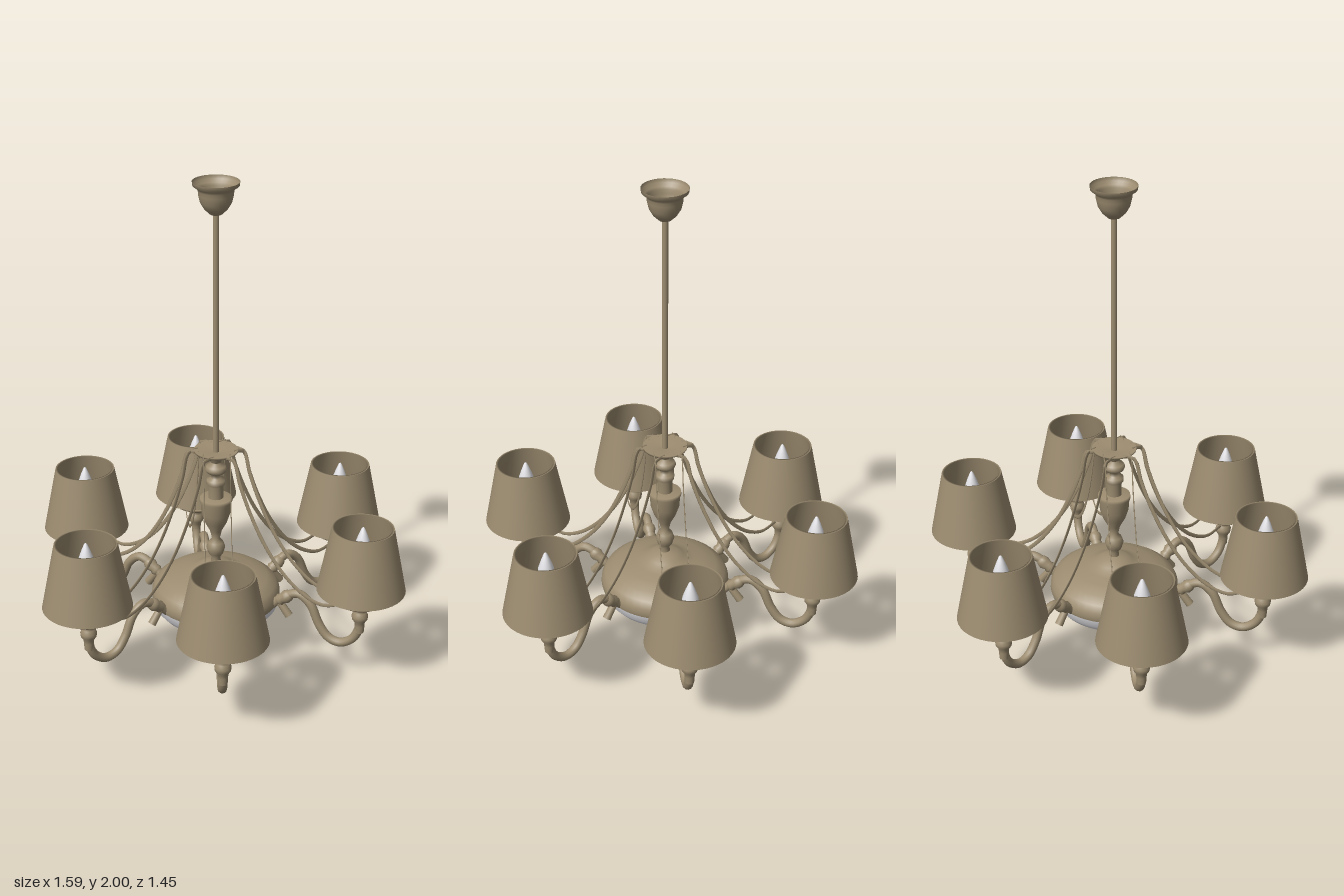
import * as THREE from 'three';

const brass = new THREE.MeshStandardMaterial({ color: 0x9c8c70, side: THREE.DoubleSide });
brass.name = 'antique brass';
const glass = new THREE.MeshStandardMaterial({ color: 0xe6e6ea, side: THREE.DoubleSide });
glass.name = 'white glass';

// Surface of revolution from [radius, height] pairs, bottom to top
function turned(name, profile, material = brass, segments = 32) {
  const pts = profile.map(([r, y]) => new THREE.Vector2(r, y));
  const mesh = new THREE.Mesh(new THREE.LatheGeometry(pts, segments), material);
  mesh.name = name;
  return mesh;
}

// Tube along a curve through [outward, height] pairs in the arm's plane
function bent(name, path, radius, segments, sides) {
  const curve = new THREE.CatmullRomCurve3(path.map(([x, y]) => new THREE.Vector3(x, y, 0)));
  const mesh = new THREE.Mesh(new THREE.TubeGeometry(curve, segments, radius, sides), brass);
  mesh.name = name;
  return mesh;
}

function createLampArm() {
  const arm = new THREE.Group();
  arm.name = 'lampArm';
  const R = 0.62;

  // S-shaped arm, with a collar and a short stub near the body
  arm.add(bent('curvedArm', [
    [0.24, 0.255], [0.3, 0.31], [0.36, 0.335], [0.41, 0.3], [0.45, 0.215],
    [0.49, 0.165], [0.54, 0.152], [0.59, 0.18], [0.615, 0.225], [R, 0.27]
  ], 0.018, 48, 12));
  const collar = turned('armCollar', [
    [0.017, -0.035], [0.025, -0.022], [0.02, -0.01], [0.027, 0.008], [0.024, 0.024], [0.017, 0.035]
  ], brass, 16);
  collar.position.set(0.3, 0.305, 0);
  collar.rotation.z = -0.95;
  arm.add(collar);
  const stub = new THREE.Mesh(new THREE.CylinderGeometry(0.014, 0.017, 0.085, 12), brass);
  stub.name = 'armStub';
  stub.position.set(0.295, 0.26, 0);
  stub.rotation.z = 0.65;
  arm.add(stub);

  // Lamp standing on the arm's end
  const lamp = new THREE.Group();
  lamp.name = 'lamp';
  lamp.position.x = R;
  lamp.add(turned('dripDish', [
    [0.018, 0.22], [0.02, 0.25], [0.021, 0.265], [0.031, 0.28], [0.033, 0.295], [0.026, 0.312],
    [0.02, 0.32], [0.03, 0.33], [0.052, 0.338], [0.06, 0.35], [0.092, 0.362], [0.09, 0.367], [0, 0.36]
  ]));
  lamp.add(turned('candleTube', [[0.025, 0.36], [0.025, 0.55], [0, 0.55]], brass, 20));
  lamp.add(turned('bulb', [
    [0.015, 0.55], [0.028, 0.565], [0.034, 0.59], [0.03, 0.62], [0.018, 0.655], [0.006, 0.685], [0, 0.69]
  ], glass, 16));
  lamp.add(turned('shade', [[0.176, 0.415], [0.122, 0.685]], brass, 40));
  lamp.add(turned('shadeLining', [[0.172, 0.415], [0.113, 0.685], [0.122, 0.685]], brass, 40));
  arm.add(lamp);

  // Pair of flat swooping straps from crown to dish
  for (const side of [-1, 1]) {
    const strap = bent('strap', [
      [0.05, 0.905], [0.095, 0.9], [0.125, 0.8], [0.17, 0.68], [0.235, 0.55],
      [0.315, 0.44], [0.4, 0.367], [0.48, 0.338], [0.55, 0.357]
    ], 0.008, 36, 8);
    strap.scale.z = 0.25;
    strap.position.z = side * 0.053;
    arm.add(strap);
  }
  return arm;
}

export function createModel() {
  const model = new THREE.Group();
  model.name = 'chandelier';
  const center = new THREE.Group();
  center.name = 'fixture';
  center.position.z = -0.015;
  model.add(center);

  // Hollow ceiling cup and hanging rod
  center.add(turned('ceilingCup', [
    [0.012, 1.87], [0.024, 1.875], [0.045, 1.895], [0.06, 1.92], [0.067, 1.95],
    [0.068, 1.965], [0.074, 1.975], [0.088, 1.985], [0.09, 2]
  ]));
  center.add(turned('hangingRod', [[0.012, 0.88], [0.012, 1.9], [0, 1.9]], brass, 16));

  // Crown and turned column
  center.add(turned('crown', [
    [0.02, 0.855], [0.028, 0.87], [0.035, 0.885], [0.06, 0.895], [0.088, 0.903], [0.088, 0.91], [0.012, 0.9]
  ]));
  center.add(turned('columnTop', [
    [0.03, 0.69], [0.03, 0.75], [0.037, 0.76], [0.037, 0.778], [0.02, 0.785], [0.018, 0.8],
    [0.038, 0.812], [0.044, 0.825], [0.038, 0.838], [0.02, 0.85], [0.02, 0.87]
  ]));
  center.add(turned('columnVase', [
    [0.022, 0.4], [0.018, 0.43], [0.03, 0.448], [0.038, 0.475], [0.03, 0.498], [0.016, 0.515],
    [0.024, 0.55], [0.045, 0.59], [0.058, 0.63], [0.061, 0.67], [0.066, 0.685], [0.064, 0.698], [0, 0.7]
  ]));

  // Domed body over a glass bowl, with a finial below
  center.add(turned('bodyDome', [
    [0.258, 0.25], [0.262, 0.265], [0.26, 0.29], [0.245, 0.318], [0.21, 0.343], [0.16, 0.36],
    [0.12, 0.37], [0.095, 0.378], [0.075, 0.39], [0.05, 0.405], [0.02, 0.412]
  ], brass, 48));
  center.add(turned('glassBowl', [
    [0, 0.112], [0.06, 0.118], [0.12, 0.133], [0.18, 0.16], [0.225, 0.19], [0.25, 0.22], [0.258, 0.252]
  ], glass, 48));
  center.add(turned('finial', [
    [0, 0.005], [0.014, 0.009], [0.02, 0.02], [0.032, 0.035], [0.033, 0.046], [0.02, 0.062],
    [0.013, 0.075], [0.014, 0.09], [0.022, 0.1], [0.045, 0.11], [0.05, 0.12], [0, 0.125]
  ]));

  // Six arms, slightly unevenly spaced
  for (const degrees of [-4.6, 60.1, 115.7, 181, 234.5, 299.5]) {
    const arm = createLampArm();
    arm.rotation.y = -THREE.MathUtils.degToRad(degrees);
    center.add(arm);
  }
  return model;
}
